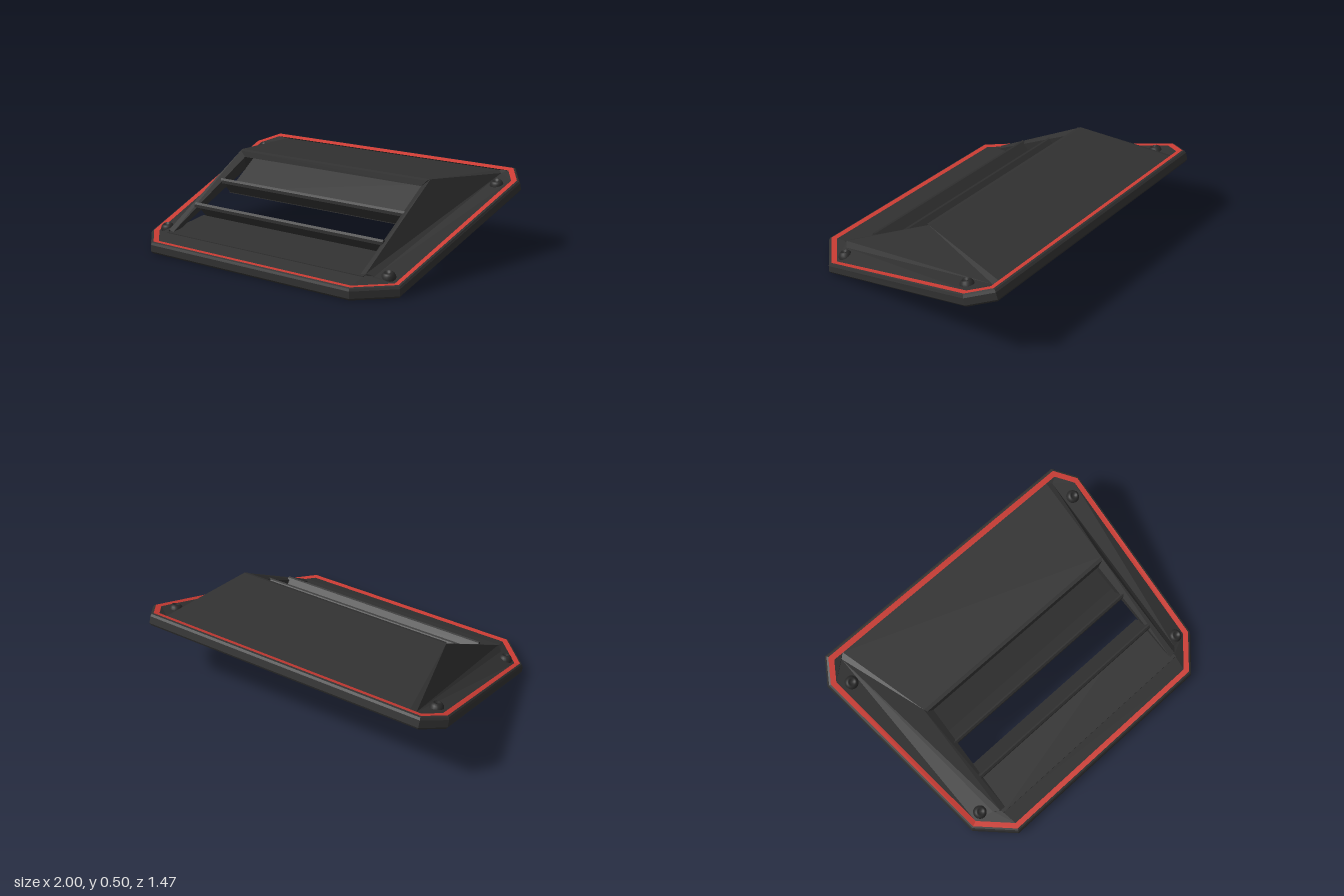
import * as THREE from 'three';

const body = new THREE.MeshStandardMaterial({ color: 0x313131, flatShading: true, side: THREE.DoubleSide });
body.name = 'charcoal plastic';
const red = new THREE.MeshStandardMaterial({ color: 0xcc3c34, flatShading: true, side: THREE.DoubleSide });
red.name = 'red trim';
const steel = new THREE.MeshStandardMaterial({ color: 0x2a2a2a });
steel.name = 'dark bolt';

// Underside height: flat at the front, rising toward the back
const SLOPE = 0.33;
const base = z => Math.max(0.005, 0.005 + SLOPE * (0.52 - z));

// Eight-sided outline as [x, z]
const outline = [[-0.9, -0.735], [0.9, -0.735], [1, -0.6], [0.91, 0.54],
  [0.72, 0.735], [-0.72, 0.735], [-0.91, 0.54], [-1, -0.6]];

// Offsets the outline inward by d and lifts it by h, square to the slope
function ring(d, h) {
  const n = outline.length;
  const normal = (a, b) => {
    const l = Math.hypot(b[0] - a[0], b[1] - a[1]);
    return [-(b[1] - a[1]) / l, (b[0] - a[0]) / l];
  };
  return outline.map((p, i) => {
    const a = normal(outline[(i + n - 1) % n], p), b = normal(p, outline[(i + 1) % n]);
    const k = d / (1 + a[0] * b[0] + a[1] * b[1]);
    const x = p[0] + (a[0] + b[0]) * k, z = p[1] + (a[1] + b[1]) * k;
    return [x, base(z) + h, p[1] < 0 ? z + SLOPE * h : z];
  });
}

function mesh(name, geometry, material) {
  const m = new THREE.Mesh(geometry, material);
  m.name = name;
  return m;
}

// Surface from a list of quads, each with four corners
function sheet(name, quads, material = body) {
  const pos = [];
  for (const [a, b, c, d] of quads) pos.push(...a, ...b, ...c, ...a, ...c, ...d);
  const g = new THREE.BufferGeometry();
  g.setAttribute('position', new THREE.Float32BufferAttribute(pos, 3));
  g.computeVertexNormals();
  return mesh(name, g, material);
}

// Closed band joining successive rings
function band(name, rings, material) {
  const quads = [];
  for (let r = 0; r + 1 < rings.length; r++) {
    const A = rings[r], B = rings[r + 1], n = A.length;
    for (let i = 0; i < n; i++) quads.push([A[i], B[i], B[(i + 1) % n], A[(i + 1) % n]]);
  }
  return sheet(name, quads, material);
}

// Slat swept across x from a [z, y] profile
function slat(name, pts, thick, width) {
  const top = pts.map(([z, y]) => new THREE.Vector2(-z, y));
  const under = pts.map(([z, y]) => new THREE.Vector2(-z, y - thick)).reverse();
  const g = new THREE.ExtrudeGeometry(new THREE.Shape([...top, ...under]), { depth: width, bevelEnabled: false });
  g.translate(0, 0, -width / 2);
  g.rotateY(Math.PI / 2);
  return mesh(name, g, body);
}

function bolt(x, y, z, tilt) {
  const b = new THREE.Group();
  b.name = 'bolt';
  const profile = [[0.041, -0.01], [0.041, 0], [0.036, 0.016], [0.027, 0.026], [0.018, 0.029], [0.014, 0.017], [0, 0.017]];
  const pts = profile.map(p => new THREE.Vector2(...p));
  b.add(mesh('boltHead', new THREE.LatheGeometry(pts, 20), steel));
  b.position.set(x, y, z);
  b.rotation.x = tilt;
  return b;
}

export function createModel() {
  const g = new THREE.Group();
  g.name = 'hoodVent';
  const mirror = p => [-p[0], p[1], p[2]];

  // Rim, trim and mounting flange
  g.add(band('innerRim', [ring(0.032, 0.062), ring(0.026, 0.012)], body));
  g.add(band('innerSeal', [ring(0.026, 0.012), ring(0.022, 0)], red));
  g.add(band('outerRim', [ring(0.022, 0), ring(0.01, 0), ring(0, 0.012), ring(0, 0.052),
    ring(0.006, 0.065), ring(0.016, 0.07)], body));
  g.add(band('redTrim', [ring(0.016, 0.07), ring(0.048, 0.069)], red));
  const foot = [[0.81, 0.466, -0.67], [0.84, 0.455, -0.645], [0.755, 0.1, 0.55], [0.715, 0.106, 0.585]];
  const footRing = [mirror(foot[0]), ...foot, mirror(foot[3]), mirror(foot[2]), mirror(foot[1])];
  g.add(band('flange', [ring(0.048, 0.069), footRing], body));

  // Raised hood: roof, sloping cheeks and the frame round the opening
  const crest = [0.7, 0.503, -0.075], nose = [0.72, 0.116, 0.58];
  const lipTop = [0.655, 0.462, -0.05], lipLow = [0.685, 0.108, 0.58], lipRidge = [0.69, 0.497, -0.055];
  g.add(sheet('roof', [[mirror(foot[0]), mirror(crest), crest, foot[0]]]));
  g.add(sheet('openingTopLip', [
    [mirror(crest), mirror(lipRidge), lipRidge, crest],
    [mirror(lipRidge), mirror(lipTop), lipTop, lipRidge],
    [mirror(lipTop), [-0.655, 0.455, -0.09], [0.655, 0.455, -0.09], lipTop]]));
  for (const side of [1, -1]) {
    const s = p => [side * p[0], p[1], p[2]];
    g.add(sheet('cheek', [
      [foot[0], crest, foot[1], foot[1]].map(s),
      [foot[1], crest, nose, foot[2]].map(s),
      [foot[2], nose, foot[3], foot[3]].map(s)]));
    g.add(sheet('openingSideFrame', [
      [crest, lipRidge, lipTop, lipTop].map(s),
      [crest, lipTop, lipLow, nose].map(s)]));
    g.add(sheet('openingSideWall', [
      [lipTop, lipLow, [0.687, 0.085, 0.58], [0.662, 0.38, -0.06]].map(s)]));

    // Bolts at the four corners
    g.add(bolt(side * 0.885, 0.416, -0.51, Math.atan(SLOPE)));
    g.add(bolt(side * 0.81, 0.095, 0.5, 0.25));
  }

  // Louvres inside the opening: each lip leads a blade falling toward the back
  g.add(slat('frontLouvre', [[0.385, 0.238], [0.375, 0.25], [0.365, 0.246], [0.27, 0.15]], 0.018, 1.38));
  g.add(slat('rearLouvre', [[0.16, 0.348], [0.15, 0.36], [0.14, 0.356], [0.05, 0.262]], 0.018, 1.38));
  g.add(slat('frontFloor', [[0.6, 0.106], [0.28, 0.145]], 0.015, 1.43));
  g.add(slat('rearPanel', [[0.055, 0.26], [-0.22, 0.45]], 0.015, 1.4));
  return g;
}
